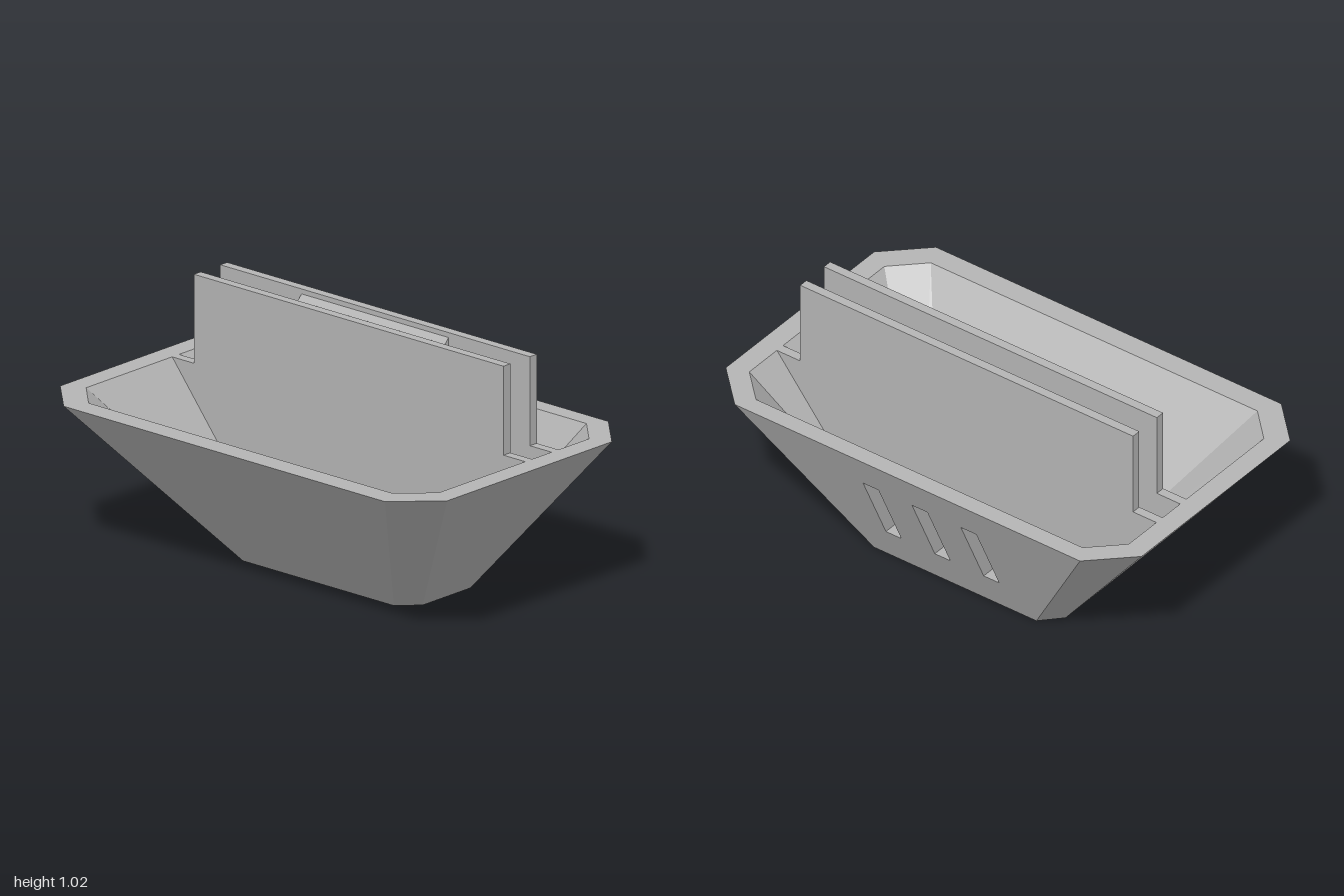
import * as THREE from 'three';

const grey = new THREE.MeshStandardMaterial({ color: 0xb4b4b4 });
grey.name = 'light grey';

const RIM_Y = 0.66, FLOOR_Y = 0.04, SLOT_Y = 0.52, PLATE_TOP = 1.02;

// Chamfered rectangle at height y, counter-clockwise seen from above
function ring(y, x, cx, front, cFront, back, cBack) {
  return [[cx, front], [x, cFront], [x, cBack], [cx, back],
    [-cx, back], [-x, cBack], [-x, cFront], [-cx, front]]
    .map(([px, pz]) => new THREE.Vector3(px, y, pz));
}

// Flat-shaded geometry from a list of triangle corners
function fromTriangles(points) {
  const geometry = new THREE.BufferGeometry().setFromPoints(points);
  geometry.computeVertexNormals();
  return geometry;
}

// Strip of quads joining two rings, optionally leaving one side open
function band(a, b, skip = -1) {
  const points = [];
  a.forEach((p, i) => {
    if (i === skip) return;
    const j = (i + 1) % a.length;
    points.push(p, a[j], b[j], p, b[j], b[i]);
  });
  return fromTriangles(points);
}

function cap(r, down = false) {
  const points = [];
  for (let i = 1; i < r.length - 1; i++) {
    points.push(r[0], down ? r[i + 1] : r[i], down ? r[i] : r[i + 1]);
  }
  return fromTriangles(points);
}

function polygon(points) {
  return new THREE.Shape(points.map(([x, y]) => new THREE.Vector2(x, y)));
}

export function createModel() {
  const model = new THREE.Group();
  const add = (name, geometry) => {
    const mesh = new THREE.Mesh(geometry, grey);
    mesh.name = name;
    model.add(mesh);
    return mesh;
  };

  const outerLow = ring(0, 0.467, 0.39, 0.1, 0.02, -0.333, -0.25);
  const outerTop = ring(RIM_Y, 1, 0.83, 0.635, 0.468, -0.635, -0.468);
  const innerTop = ring(RIM_Y, 0.912, 0.785, 0.543, 0.417, -0.56, -0.435);
  const innerLow = ring(FLOOR_Y, 0.41, 0.36, 0.036, -0.005, -0.275, -0.232);

  // Hull: outer skin, rim, inner skin and both floors
  const BACK = 3;
  add('outerHull', band(outerLow, outerTop, BACK));
  add('rim', band(outerTop, innerTop));
  add('innerHull', band(innerTop, innerLow, BACK));
  add('hullUnderside', cap(outerLow, true));
  add('hullFloor', cap(innerLow));

  // Sloping back wall, pierced by three vents
  const vents = [-0.235, 0, 0.235].map((x) => [
    [x - 0.037, 0.175], [x + 0.037, 0.175], [x + 0.037, 0.49], [x - 0.037, 0.49]]);
  const wallZ = (low, top, y) => THREE.MathUtils.mapLinear(
    y, low[BACK].y, top[BACK].y, low[BACK].z, top[BACK].z);

  function backWall(low, top, facing) {
    const a = low[BACK], b = top[BACK];
    const shape = polygon([[-a.x, a.y], [a.x, a.y], [b.x, b.y], [-b.x, b.y]]);
    vents.forEach((v) => shape.holes.push(polygon(v)));
    const geometry = new THREE.ShapeGeometry(shape);
    const p = geometry.attributes.position;
    for (let i = 0; i < p.count; i++) {
      p.setXYZ(i, p.getX(i) * facing, p.getY(i), wallZ(low, top, p.getY(i)));
    }
    geometry.computeVertexNormals();
    return geometry;
  }
  add('outerBackWall', backWall(outerLow, outerTop, -1));
  add('innerBackWall', backWall(innerLow, innerTop, 1));

  vents.forEach((v) => {
    const edge = (low, top) => v.map(([x, y]) => new THREE.Vector3(x, y, wallZ(low, top, y)));
    add('ventLining', band(edge(innerLow, innerTop), edge(outerLow, outerTop)));
  });

  // Two upright plates whose lower parts span the hull
  const plate = polygon([[-0.41, FLOOR_Y], [0.41, FLOOR_Y], [0.912, RIM_Y], [0.8, RIM_Y],
    [0.8, PLATE_TOP], [-0.8, PLATE_TOP], [-0.8, RIM_Y], [-0.912, RIM_Y]]);
  const slab = (name, shape, back, front) => {
    const geometry = new THREE.ExtrudeGeometry(shape, { depth: front - back, bevelEnabled: false });
    add(name, geometry.translate(0, 0, back));
  };
  slab('rearPlate', plate, -0.261, -0.222);
  slab('frontPlate', plate, -0.111, -0.072);

  // Solid core forming the bottom of the slot between the plates
  const core = polygon([[-0.41, FLOOR_Y], [0.41, FLOOR_Y], [0.8, SLOT_Y], [-0.8, SLOT_Y]]);
  slab('slotFloor', core, -0.222, -0.111);

  // Retaining ridge on the inner face of the rear plate
  const ridge = polygon([[-0.222, 0.937], [-0.201, 0.96], [-0.201, 0.978], [-0.222, 1.0]]);
  const ridgeGeometry = new THREE.ExtrudeGeometry(ridge, { depth: 0.76, bevelEnabled: false });
  add('retainingRidge', ridgeGeometry.rotateY(-Math.PI / 2).translate(0.38, 0, 0));

  return model;
}
